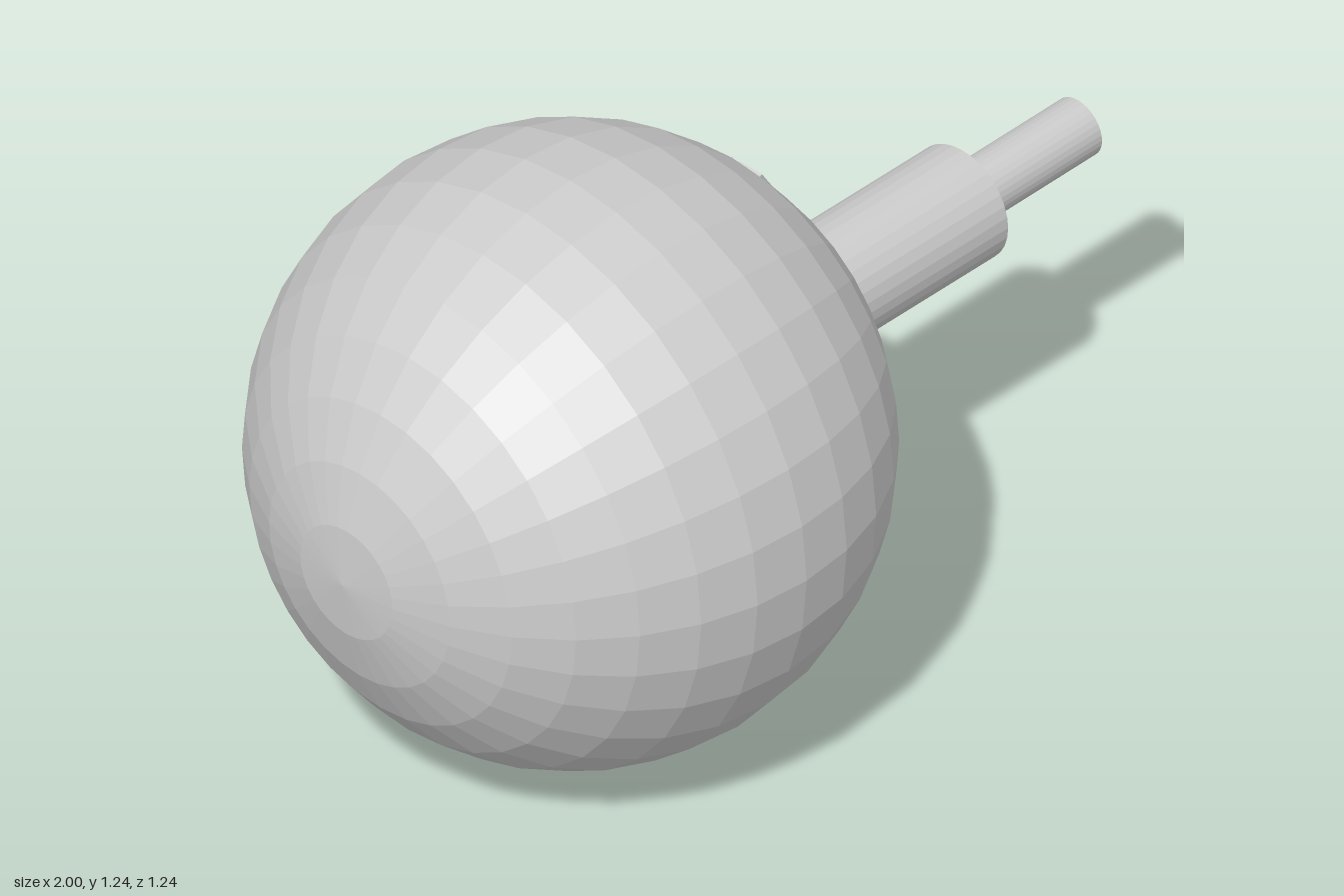
import * as THREE from 'three';

const CY = 0.622; // height of the long axis
const CX = -0.379; // ball centre
const R = 0.621;
const DEG = Math.PI / 180;

const mat = new THREE.MeshStandardMaterial({ color: 0xcccccc, flatShading: true });

function add(group, name, geometry) {
  const mesh = new THREE.Mesh(geometry, mat);
  mesh.name = name;
  group.add(mesh);
  return mesh;
}

// Closed cylinder between two points
function rod(group, name, from, to, radius) {
  const a = new THREE.Vector3(...from), b = new THREE.Vector3(...to);
  const dir = b.clone().sub(a);
  const mesh = add(group, name, new THREE.CylinderGeometry(radius, radius, dir.length(), 32));
  mesh.position.copy(a).add(b).multiplyScalar(0.5);
  mesh.quaternion.setFromUnitVectors(new THREE.Vector3(0, 1, 0), dir.normalize());
}

// Sweep a four-point (x, radius) section around the long axis; angle 0 points to the back
function sweptBlock(section, angles) {
  const pos = [], index = [], n = section.length;
  for (const deg of angles) {
    for (const [x, r] of section) {
      pos.push(x, CY + r * Math.sin(deg * DEG), -r * Math.cos(deg * DEG));
    }
  }
  for (let i = 0; i < angles.length - 1; i++) {
    for (let j = 0; j < n; j++) {
      const a = i * n + j, b = i * n + (j + 1) % n;
      index.push(a, b, b + n, a, b + n, a + n);
    }
  }
  const e = (angles.length - 1) * n;
  index.push(0, 2, 1, 0, 3, 2, e, e + 1, e + 2, e, e + 2, e + 3);
  const g = new THREE.BufferGeometry();
  g.setAttribute('position', new THREE.Float32BufferAttribute(pos, 3));
  g.setIndex(index);
  g.computeVertexNormals();
  return g;
}

export function createModel() {
  const model = new THREE.Group();
  model.name = 'ballWithStem';

  // Faceted ball with its poles on the x axis
  const ball = add(model, 'ball', new THREE.SphereGeometry(R, 32, 16));
  ball.rotation.z = -Math.PI / 2;
  ball.position.set(CX, CY, 0);

  // Thick stem and the thinner, slightly tilted tip
  rod(model, 'stem', [0.2, CY, 0], [0.685, CY, 0], 0.121);
  rod(model, 'tip', [0.66, 0.623, -0.003], [1, 0.631, 0.002], 0.062);

  // Raised panel behind the stem, with a small button
  add(model, 'panel', sweptBlock(
    [[0.15, 0.28], [0.265, 0.28], [0.158, 0.428], [0.05, 0.44]],
    [-23.5, -11.25, 0, 11.25]));
  add(model, 'button', sweptBlock(
    [[0.2, 0.332], [0.297, 0.328], [0.265, 0.377], [0.17, 0.375]],
    [-13.5, -1.5]));

  // Thin plate nearly flush with the ball, above the stem
  const tilt = 33 * DEG;
  const plate = add(model, 'flushPlate', new THREE.BoxGeometry(0.12, 0.02, 0.06));
  plate.position.set(CX + Math.cos(tilt) * (R - 0.009), CY + Math.sin(tilt) * (R - 0.009), 0);
  plate.rotation.z = tilt - Math.PI / 2;

  return model;
}
